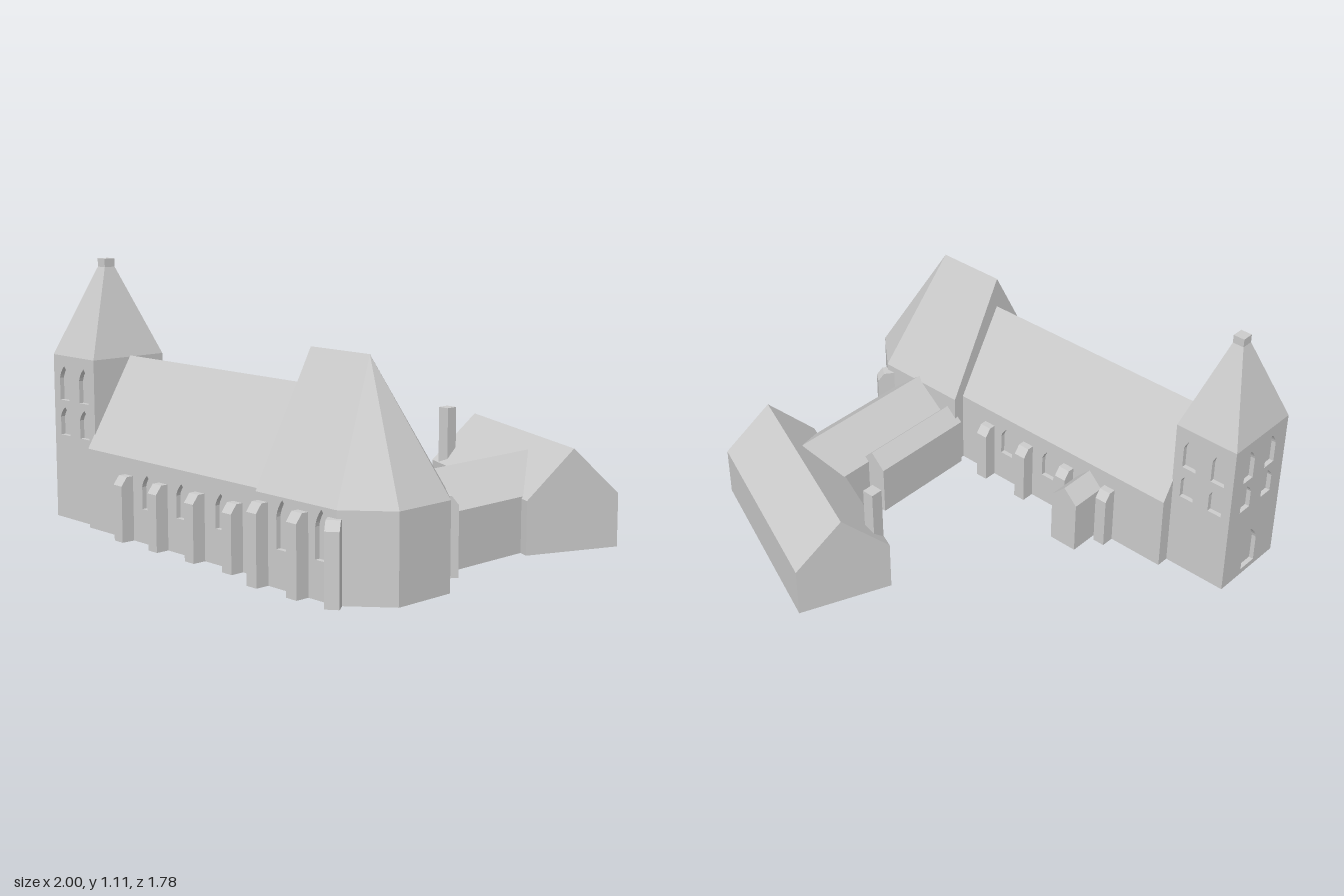
import * as THREE from 'three';
import { ConvexGeometry } from 'three/addons/geometries/ConvexGeometry.js';

export function createModel() {
  const model = new THREE.Group();
  model.name = 'church';
  const stone = new THREE.MeshStandardMaterial({ color: 0xcccccc });
  stone.name = 'pale stone';

  const add = (name, geometry, parent = model) => {
    const mesh = new THREE.Mesh(geometry, stone);
    mesh.name = name;
    parent.add(mesh);
    return mesh;
  };
  const polygon = (points) => new THREE.Shape(points.map(([x, y]) => new THREE.Vector2(x, y)));
  const extrude = (shape, depth) =>
    new THREE.ExtrudeGeometry(shape, { depth, bevelEnabled: false, curveSegments: 4 });
  const hull = (name, points) =>
    add(name, new ConvexGeometry(points.map((p) => new THREE.Vector3(...p))));

  // Pointed-arch opening: centre x, sill y, width, height
  const lancet = ([x, y, w, h]) => {
    const p = new THREE.Path();
    const spring = y + h * 0.64;
    p.moveTo(x - w / 2, y);
    p.lineTo(x + w / 2, y);
    p.lineTo(x + w / 2, spring);
    p.quadraticCurveTo(x + w * 0.42, y + h * 0.82, x, y + h);
    p.quadraticCurveTo(x - w * 0.42, y + h * 0.82, x - w / 2, spring);
    p.lineTo(x - w / 2, y);
    return p;
  };

  // Wall from a to b, left to right as seen from outside, with recessed openings
  const wall = (name, [ax, az], [bx, bz], height, openings = []) => {
    const g = new THREE.Group();
    g.name = name;
    const length = Math.hypot(bx - ax, bz - az);
    const shape = polygon([[0, 0], [length, 0], [length, height], [0, height]]);
    shape.holes.push(...openings.map(lancet));
    add('wallFace', extrude(shape, 0.02).translate(0, 0, -0.02), g);
    if (openings.length) {
      const back = new THREE.BoxGeometry(length - 0.05, height - 0.01, 0.02);
      add('windowRecess', back.translate(length / 2, height / 2, -0.03), g);
    }
    g.position.set(ax, 0, az);
    g.rotation.y = Math.atan2(az - bz, bx - ax);
    model.add(g);
  };

  // Walls around a footprint plus a floor; openings are listed per wall
  const walls = (name, corners, height, openings = {}) => {
    corners.forEach((c, i) =>
      wall(name + 'Wall', c, corners[(i + 1) % corners.length], height, openings[i]));
    hull(name + 'Floor', corners.flatMap(([x, z]) => [[x, 0, z], [x, 0.01, z]]));
  };

  const ZC = 0.558;

  // Tower
  const T = { x0: -1, x1: -0.71, z0: 0.39, z1: 0.745, h: 0.7 };
  const pairs = (a, b) => [a, b].flatMap((x) => [[x, 0.36, 0.065, 0.12], [x, 0.51, 0.065, 0.145]]);
  walls('tower', [[T.x0, T.z1], [T.x1, T.z1], [T.x1, T.z0], [T.x0, T.z0]], T.h, {
    0: pairs(0.075, 0.215),
    2: pairs(0.075, 0.215),
    3: [...pairs(0.105, 0.25), [0.1775, 0.025, 0.09, 0.19]],
  });
  const spire = [];
  for (const sx of [-1, 1]) for (const sz of [-1, 1]) {
    spire.push([-0.855 + sx * 0.145, T.h, 0.5675 + sz * 0.1775]);
    spire.push([-0.855 + sx * 0.025, 1.07, 0.5675 + sz * 0.025]);
  }
  hull('spire', spire);
  add('spireCap', new THREE.BoxGeometry(0.05, 0.04, 0.05)).position.set(-0.855, 1.085, 0.5675);

  // Nave
  const nave = [[-0.715, 0.778], [0.415, 0.778], [0.415, 0.335], [-0.715, 0.335]];
  walls('nave', nave, 0.335, {
    0: [-0.315, -0.095, 0.145].map((x) => [x + 0.715, 0.14, 0.065, 0.14]),
    2: [-0.095, 0.145].map((x) => [0.415 - x, 0.14, 0.065, 0.14]),
  });
  hull('naveRoof', [...nave.map(([x, z]) => [x, 0.335, z]), [-0.715, 0.705, ZC], [0.415, 0.705, ZC]]);

  // Choir with angled apse
  const choir = [[0.41, 0.832], [0.835, 0.832], [1, 0.69], [1, 0.43], [0.835, 0.283], [0.41, 0.283]];
  walls('choir', choir, 0.34, {
    0: [0.555, 0.76].map((x) => [x - 0.41, 0.145, 0.065, 0.185]),
  });
  hull('choirRoof', [...choir.map(([x, z]) => [x, 0.34, z]), [0.41, 0.845, ZC], [0.72, 0.845, ZC]]);

  // Buttresses with sloped outer tops
  const buttress = (x, z, h, angle = 0) => {
    const profile = polygon([[-0.02, 0], [0.057, 0], [0.057, h - 0.035], [0.03, h], [-0.02, h]]);
    const geo = extrude(profile, 0.054).translate(0, 0, -0.027).rotateY(-Math.PI / 2);
    const mesh = add('buttress', geo);
    mesh.position.set(x, 0, z);
    mesh.rotation.y = angle;
  };
  for (const x of [-0.435, -0.21, 0.02, 0.245]) {
    buttress(x, 0.778, 0.265);
    buttress(x, 0.335, 0.265, Math.PI);
  }
  for (const x of [0.45, 0.665]) buttress(x, 0.832, 0.31);
  buttress(0.825, 0.83, 0.31, 0.64);
  buttress(0.825, 0.285, 0.31, Math.PI - 0.64);

  // Gabled blocks, ridge along local z
  const gable = (name, width, length, eave, ridge, x, z, angle = 0) => {
    const w = width / 2;
    const shape = polygon([[-w, 0], [w, 0], [w, eave], [0, ridge], [-w, eave]]);
    const mesh = add(name, extrude(shape, length).translate(0, 0, -length / 2));
    mesh.position.set(x, 0, z);
    mesh.rotation.y = angle;
  };
  gable('porch', 0.13, 0.18, 0.235, 0.3, -0.325, 0.26);
  gable('corridor', 0.32, 0.72, 0.225, 0.36, 0.64, -0.06);
  gable('sidePassage', 0.135, 0.49, 0.22, 0.285, 0.457, 0.055);
  gable('annex', 0.405, 0.888, 0.217, 0.41, 0.51, -0.534, Math.PI / 2 - Math.PI / 8);

  // Annex chimney
  add('chimney', new THREE.BoxGeometry(0.052, 0.46, 0.052)).position.set(0.105, 0.23, -0.522);

  return model;
}
